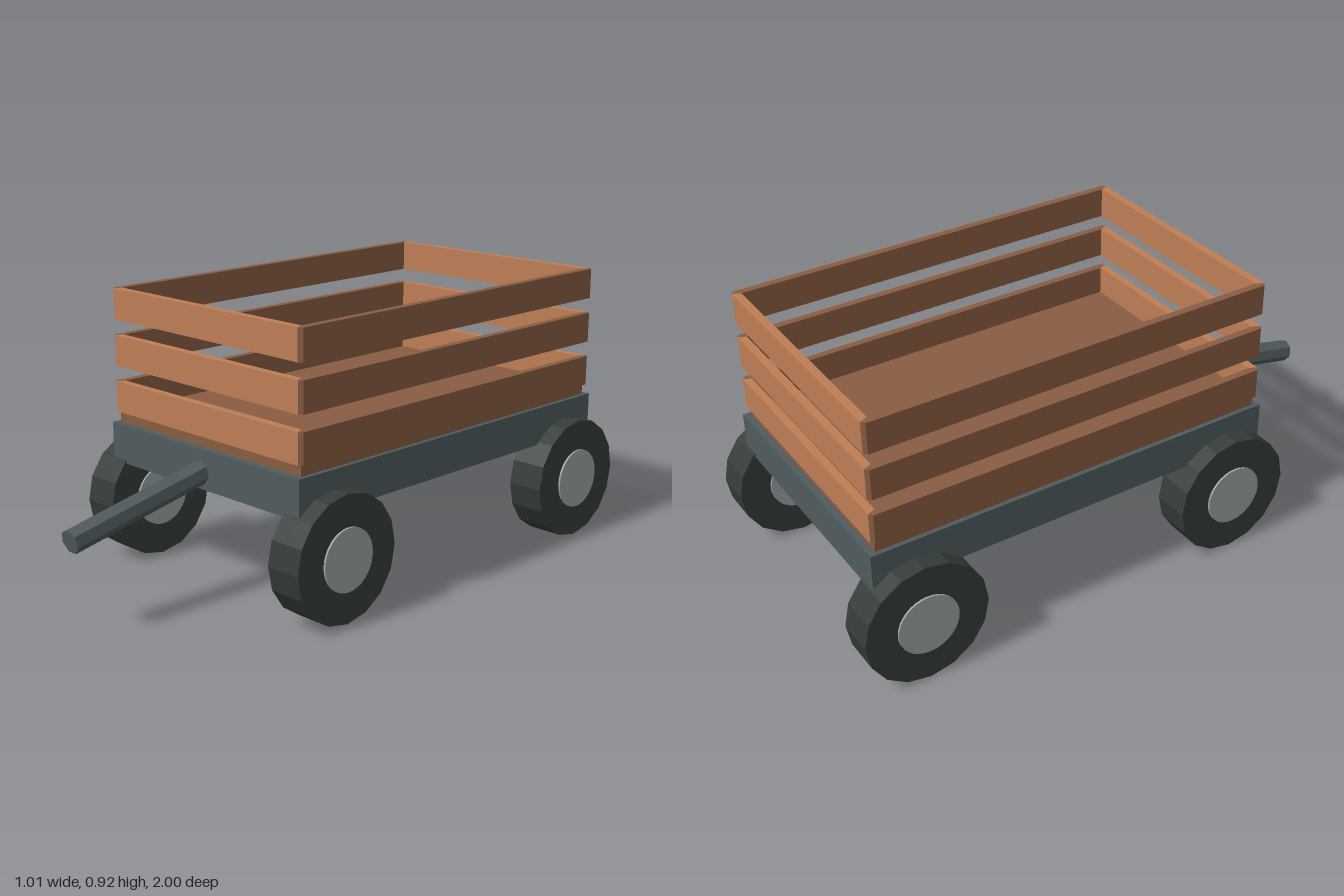
import * as THREE from 'three';

const makeMaterial = (name, color) => {
  const m = new THREE.MeshStandardMaterial({ color, flatShading: true });
  m.name = name;
  return m;
};

export function createModel() {
  const orangeWood = makeMaterial('orange wood', 0xbe7d55);
  const brownWood = makeMaterial('brown wood', 0x895d42);
  const greyMetal = makeMaterial('grey metal', 0x505b5e);
  const rubber = makeMaterial('dark rubber', 0x353c3a);
  const hubMetal = makeMaterial('pale hub metal', 0x98a49f);

  const wagon = new THREE.Group();
  wagon.name = 'wagon';
  const bodyZ = -0.22; // middle of the bed

  const add = (name, geometry, material, x, y, z, parent = wagon) => {
    const mesh = new THREE.Mesh(geometry, material);
    mesh.name = name;
    mesh.position.set(x, y, z);
    parent.add(mesh);
    return mesh;
  };

  // Chassis and floor
  add('chassis', new THREE.BoxGeometry(0.88, 0.13, 1.425), greyMetal, 0, 0.41, bodyZ);
  add('floor', new THREE.BoxGeometry(0.85, 0.04, 1.38), brownWood, 0, 0.495, bodyZ);

  // Slats: mitred plans extruded upward, the sides wrapping the clipped corners
  const slat = (points) => {
    const shape = new THREE.Shape(points.map(([x, z]) => new THREE.Vector2(x, -z)));
    return new THREE.ExtrudeGeometry(shape, { depth: 0.102, bevelEnabled: false }).rotateX(-Math.PI / 2);
  };
  const endPlan = [[-0.425, 0.702], [0.425, 0.702], [0.413, 0.675], [-0.413, 0.675]];
  const sidePlan = [
    [0.425, 0.702], [0.438, 0.692], [0.438, -0.692],
    [0.425, -0.702], [0.413, -0.675], [0.413, 0.675],
  ];
  for (const y of [0.511, 0.665, 0.819]) {
    for (const s of [1, -1]) {
      const flip = ([x, z]) => [x * s, z * s];
      add(s > 0 ? 'frontSlat' : 'backSlat', slat(endPlan.map(flip)), orangeWood, 0, y, bodyZ);
      add(s > 0 ? 'leftSlat' : 'rightSlat', slat(sidePlan.map(flip)), brownWood, 0, y, bodyZ);
    }
  }

  // Wheels with slightly protruding hubs
  const tireGeometry = new THREE.CylinderGeometry(0.207, 0.207, 0.126, 16).rotateZ(Math.PI / 2);
  const hubGeometry = new THREE.CylinderGeometry(0.102, 0.102, 0.14, 32).rotateZ(Math.PI / 2);
  for (const x of [-0.437, 0.437]) {
    for (const z of [0.35, -0.793]) {
      const wheel = new THREE.Group();
      wheel.name = (z > 0 ? 'front' : 'back') + (x > 0 ? 'Left' : 'Right') + 'Wheel';
      wheel.position.set(x, 0.207, z);
      add('tire', tireGeometry, rubber, 0, 0, 0, wheel);
      add('hub', hubGeometry, hubMetal, 0, 0, 0, wheel);
      wagon.add(wheel);
    }
  }

  // Sloping seven-sided pull handle
  const tilt = 0.203;
  const length = 0.56;
  const handle = add('handle',
    new THREE.CylinderGeometry(0.039, 0.039, length, 7, 1, false, Math.PI),
    greyMetal, 0,
    0.297 + Math.sin(tilt) * length / 2,
    0.992 - Math.cos(tilt) * length / 2);
  handle.rotation.x = Math.PI / 2 + tilt;

  return wagon;
}
